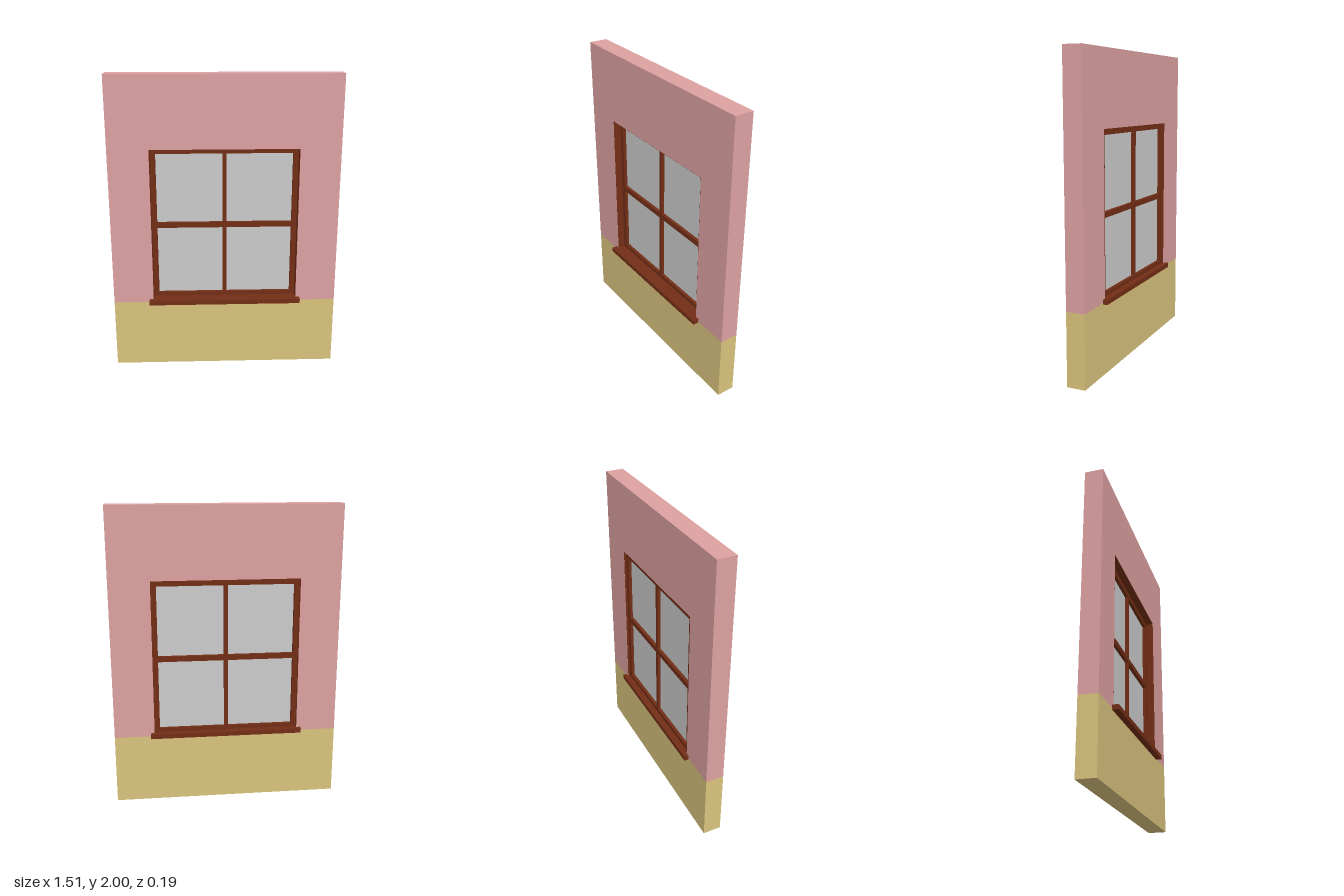
import * as THREE from 'three';

const PINK = 0xdda1a1, OCHRE = 0xd9c37d, BROWN = 0x732e16, GREY = 0xcccccc;

// Wall depth and window opening
const WALL = { x: 0.755, split: 0.467, top: 2, back: -0.066, front: 0.056 };
const OPEN = { x: 0.487, y0: 0.479, y1: 1.525 };
const FRAME_Z = -0.023, FRAME_DEPTH = 0.056, FRAME_WIDTH = 0.037;

const materials = new Map();
function paint(color) {
  if (!materials.has(color)) {
    materials.set(color, new THREE.MeshStandardMaterial({ color }));
  }
  return materials.get(color);
}

function part(name, geometry, color) {
  const mesh = new THREE.Mesh(geometry, paint(color));
  mesh.name = name;
  return mesh;
}

// Box given by its limits along each axis
function block(name, color, [x0, x1], [y0, y1], [z0, z1]) {
  const geometry = new THREE.BoxGeometry(x1 - x0, y1 - y0, z1 - z0);
  geometry.translate((x0 + x1) / 2, (y0 + y1) / 2, (z0 + z1) / 2);
  return part(name, geometry, color);
}

function rectangle(Type, x, y0, y1) {
  return new Type([
    new THREE.Vector2(-x, y0), new THREE.Vector2(x, y0),
    new THREE.Vector2(x, y1), new THREE.Vector2(-x, y1),
  ]);
}

// Rectangular slab with a rectangular hole, each given as [half width, bottom, top]
function ring(name, color, outer, inner, z0, z1) {
  const shape = rectangle(THREE.Shape, ...outer);
  shape.holes.push(rectangle(THREE.Path, ...inner));
  const geometry = new THREE.ExtrudeGeometry(shape, { depth: z1 - z0, bevelEnabled: false });
  geometry.translate(0, 0, z0);
  return part(name, geometry, color);
}

export function createModel() {
  const model = new THREE.Group();
  model.name = 'wallWithWindow';
  const { x, y0, y1 } = OPEN;

  // Two-tone wall
  model.add(
    block('lowerWall', OCHRE, [-WALL.x, WALL.x], [0, WALL.split], [WALL.back, WALL.front]),
    ring('upperWall', PINK, [WALL.x, WALL.split, WALL.top], [x, y0, y1], WALL.back, WALL.front),
  );

  const windowUnit = new THREE.Group();
  windowUnit.name = 'window';
  model.add(windowUnit);

  // Thin wooden lining of the opening
  windowUnit.add(ring('openingLining', BROWN, [x + 0.004, y0 - 0.004, y1 + 0.004],
    [x - 0.002, y0 + 0.002, y1 - 0.002], WALL.back + 0.0005, WALL.front - 0.0005));

  // Recessed frame
  const z0 = FRAME_Z - FRAME_DEPTH / 2, z1 = FRAME_Z + FRAME_DEPTH / 2;
  const gx = x - FRAME_WIDTH, gy0 = y0 + FRAME_WIDTH, gy1 = y1 - FRAME_WIDTH;
  windowUnit.add(ring('windowFrame', BROWN, [x, y0, y1], [gx, gy0, gy1], z0, z1));

  // Glazing bars
  const midY = (gy0 + gy1) / 2;
  windowUnit.add(
    block('verticalBar', BROWN, [-0.013, 0.013], [gy0, gy1], [z0 + 0.001, z1 - 0.001]),
    block('horizontalBar', BROWN, [-gx, gx], [midY - 0.018, midY + 0.018], [z0, z1]),
  );

  // Four panes
  for (const side of [-1, 1]) {
    for (const [bottom, top, row] of [[gy0, midY, 'lower'], [midY, gy1, 'upper']]) {
      const name = row + (side > 0 ? 'Left' : 'Right') + 'Pane';
      const span = side > 0 ? [0, gx] : [-gx, 0];
      windowUnit.add(block(name, GREY, span, [bottom, top], [FRAME_Z - 0.006, FRAME_Z + 0.006]));
    }
  }

  // Sill running through the wall
  windowUnit.add(block('sill', BROWN, [-0.513, 0.513], [0.458, 0.489], [-0.095, 0.095]));

  return model;
}
